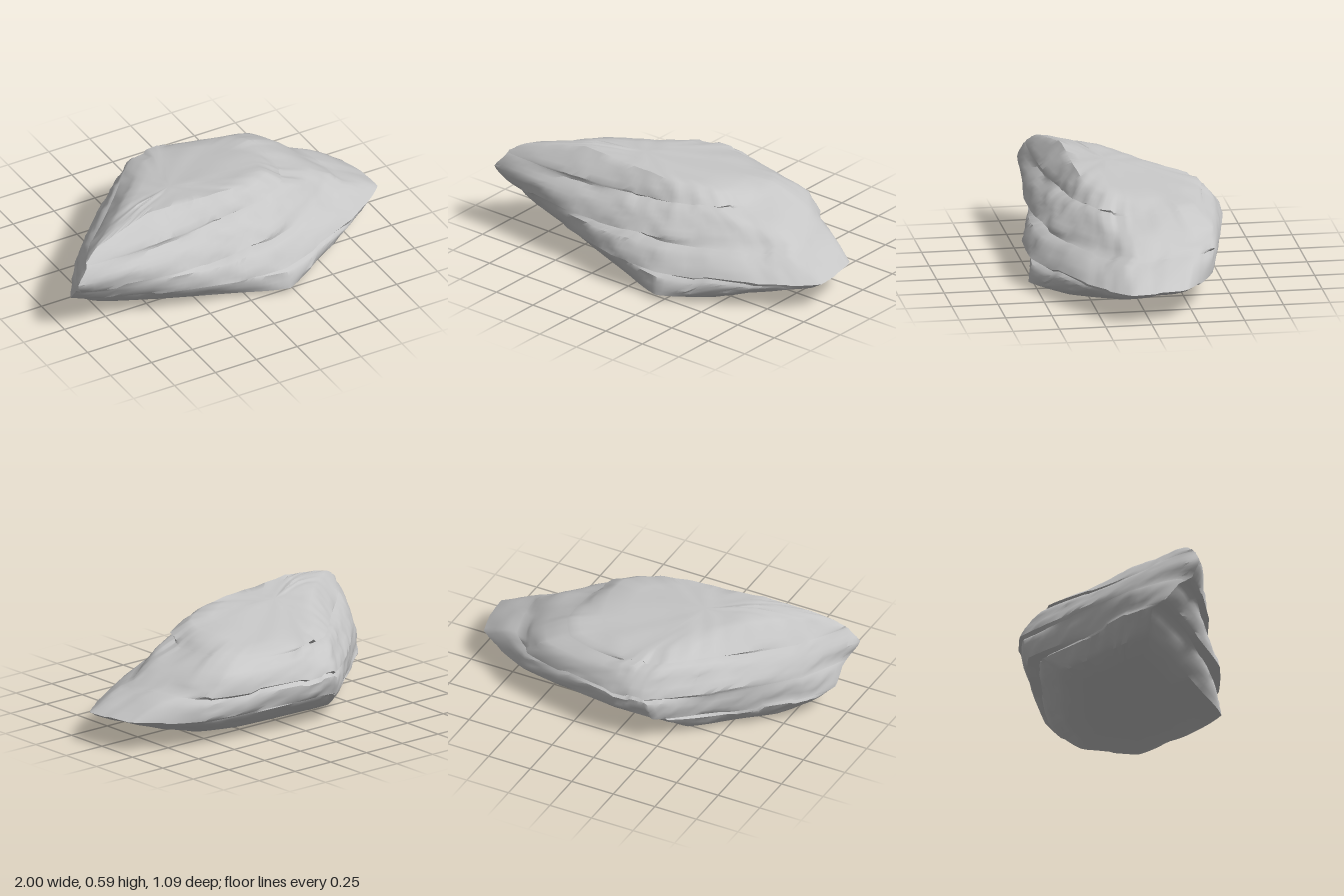
import * as THREE from 'three';
import { toCreasedNormals } from 'three/addons/utils/BufferGeometryUtils.js';

const N = 120; // points around each ring
const stone = new THREE.MeshStandardMaterial({ color: 0xc6c6c6 });
stone.name = 'grey stone';

// Cross-sections as x, z pairs: left tip, along the front, right end, back
const footEdge = [-0.75, 0.13, -0.45, 0.28, -0.1, 0.42, 0.22, 0.54, 0.48, 0.36, 0.61, 0.1,
  0.52, -0.2, 0.3, -0.28, -0.1, -0.3, -0.33, -0.3, -0.54, -0.11, -0.7, 0.03];
const footTop = [-0.9, 0.15, -0.5, 0.34, -0.1, 0.47, 0.21, 0.52, 0.69, 0.32, 0.95, 0.11,
  0.88, -0.2, 0.55, -0.37, 0, -0.43, -0.27, -0.42, -0.55, -0.19, -0.81, 0.02];
const lowerWide = [-0.945, 0.22, -0.5, 0.4, -0.1, 0.525, 0.2, 0.525, 0.73, 0.3, 1, 0.1,
  0.95, -0.2, 0.61, -0.39, 0, -0.5, -0.22, -0.49, -0.51, -0.23, -0.82, 0.05];
const lowerTop = [-0.95, 0.29, -0.47, 0.43, -0.1, 0.48, 0.18, 0.46, 0.6, 0.26, 0.8, 0.08,
  0.78, -0.25, 0.6, -0.39, 0, -0.53, -0.2, -0.52, -0.5, -0.25, -0.83, 0.06];
const middleBase = [-0.96, 0.36, -0.44, 0.46, -0.05, 0.45, 0.2, 0.41, 0.58, 0.2, 0.75, 0.03,
  0.65, -0.29, 0.58, -0.41, 0, -0.545, -0.18, -0.535, -0.5, -0.27, -0.82, 0.07];
const middleWide = [-1, 0.4, -0.45, 0.43, -0.05, 0.4, 0.18, 0.36, 0.5, 0.18, 0.62, 0.04,
  0.58, -0.28, 0.5, -0.41, 0, -0.51, -0.18, -0.495, -0.48, -0.22, -0.82, 0.11];
const middleTop = [-0.94, 0.38, -0.45, 0.36, -0.08, 0.34, 0.14, 0.3, 0.38, 0.18, 0.46, 0.03,
  0.46, -0.24, 0.38, -0.37, 0, -0.46, -0.2, -0.43, -0.47, -0.18, -0.81, 0.16];
const crownBase = [-0.93, 0.36, -0.45, 0.365, -0.1, 0.32, 0.15, 0.29, 0.37, 0.18, 0.41, 0.03,
  0.4, -0.23, 0.32, -0.35, -0.05, -0.435, -0.23, -0.39, -0.46, -0.16, -0.79, 0.18];
const crownRim = [-0.84, 0.32, -0.46, 0.25, -0.1, 0.24, 0.1, 0.22, 0.27, 0.13, 0.3, 0.02,
  0.25, -0.17, 0.17, -0.27, -0.08, -0.34, -0.2, -0.29, -0.4, -0.07, -0.65, 0.17];

const rough = (p) => Math.sin(p.x * 17 + p.y * 23) * Math.sin(p.z * 19 - p.y * 31 + 1)
  + 0.5 * Math.sin(p.x * 41 - p.z * 37 + p.y * 50);
const hash = (n) => { const s = Math.sin(n * 127.1) * 43758.5; return s - Math.floor(s); };

// Closed ring through a cross-section at height y, between straight and smooth
function ring(pairs, y) {
  const keys = [];
  for (let i = 0; i < pairs.length; i += 2) keys.push(new THREE.Vector3(pairs[i], y, pairs[i + 1]));
  const curve = new THREE.CatmullRomCurve3(keys, true, 'centripetal');
  return Array.from({ length: N }, (_, i) => {
    const u = i * keys.length / N, k = Math.floor(u);
    const straight = keys[k].clone().lerp(keys[(k + 1) % keys.length], u - k);
    return straight.lerp(curve.getPoint(i / N), 0.4);
  });
}

// Raise and lower the two lips of a ledge together in uneven steps
function jag(rings, seed) {
  for (let i = 0; i < N; i++) {
    const dy = (hash(Math.floor(i / 5) + seed) - 0.5) * 0.022 + 0.008 * Math.sin(i * 0.21 + seed);
    rings.forEach((r) => { r[i].y += dy; });
  }
}

// Recessed crack between two slabs, fading out twice around the rock
function crack(below, above, phase) {
  return below.map((p, i) => {
    const q = p.clone().lerp(above[i], 0.5);
    const open = Math.max(0, 0.3 + Math.sin(i * 4 * Math.PI / N + phase));
    const depth = 0.002 + open * (0.02 + 0.016 * hash(Math.floor(i / 4) + phase));
    const inward = new THREE.Vector3(-0.1 - q.x, 0, -q.z).normalize();
    return q.addScaledVector(inward, depth);
  });
}

// In-between rings that bulge slightly and carry the rough surface
function fill(a, b, steps, bulge) {
  return Array.from({ length: steps - 1 }, (_, k) => a.map((p, i) => {
    const t = (k + 1) / steps;
    const q = p.clone().lerp(b[i], t);
    const out = new THREE.Vector3(q.x + 0.1, 0, q.z).normalize();
    return q.addScaledVector(out, Math.sin(t * Math.PI) * (bulge + 0.008 * rough(q)));
  }));
}

// Skin stacked rings, with optional centre points closing either end
function slab(name, rings, bottom, top) {
  const pos = [], idx = [];
  rings.forEach((r) => r.forEach((p) => pos.push(p.x, p.y, p.z)));
  const last = (rings.length - 1) * N;
  for (let i = 0; i < N; i++) {
    const j = (i + 1) % N;
    for (let k = 0; k < last; k += N) idx.push(k + i, k + j, k + N + j, k + i, k + N + j, k + N + i);
    if (bottom) idx.push(j, i, rings.length * N);
    if (top) idx.push(last + i, last + j, rings.length * N);
  }
  const cap = bottom || top;
  if (cap) pos.push(cap.x, cap.y, cap.z);
  const geo = new THREE.BufferGeometry();
  geo.setAttribute('position', new THREE.Float32BufferAttribute(pos, 3));
  geo.setIndex(idx);
  const mesh = new THREE.Mesh(toCreasedNormals(geo, 0.8), stone);
  mesh.name = name;
  return mesh;
}

export function createModel() {
  const rock = new THREE.Group();
  rock.name = 'layeredRock';

  const a0 = ring(footEdge, 0.03), a1 = ring(footTop, 0.13);
  const b0 = ring(lowerWide, 0.16), b1 = ring(lowerTop, 0.26);
  const c0 = ring(middleBase, 0.295), c1 = ring(middleWide, 0.37), c2 = ring(middleTop, 0.43);
  const d0 = ring(crownBase, 0.455), d1 = ring(crownRim, 0);
  jag([a1, b0], 3);
  jag([b1, c0], 40);
  jag([c2, d0], 77);
  // The crown slopes down to the back, the right and the left tip
  const crownY = (p) => 0.58 - 0.055 * (p.x + 0.46) + 0.13 * (p.z - 0.25)
    - 0.25 * Math.max(0, -0.5 - p.x) + 0.003 * rough(p);
  d1.forEach((p) => { p.y = crownY(p); });
  const ab = crack(a1, b0, -1.05), bc = crack(b1, c0, -0.5), cd = crack(c2, d0, -1.8);

  // Gently domed underside
  const foot = new THREE.Vector3(-0.02, 0, 0.05);
  const under = [0.35, 0.7].map((t) => a0.map((p) => {
    const q = foot.clone().lerp(p, t);
    q.y = 0.03 * t * t;
    return q;
  }));
  // Crown surface rings shrinking to the middle
  const peak = new THREE.Vector3(-0.25, 0, 0.05);
  peak.y = crownY(peak) + 0.008;
  const dome = [0.25, 0.5, 0.75].map((t) => d1.map((p) => {
    const q = p.clone().lerp(peak, t);
    q.y = crownY(q) + 0.008 * t;
    return q;
  }));

  rock.add(
    slab('bottomSlab', [...under, a0, ...fill(a0, a1, 4, 0.008), a1, ab], foot, null),
    slab('lowerSlab', [ab, b0, ...fill(b0, b1, 4, 0.008), b1, bc]),
    slab('middleSlab', [bc, c0, ...fill(c0, c1, 3, 0.004), c1, ...fill(c1, c2, 3, 0.006), c2, cd]),
    slab('crownSlab', [cd, d0, ...fill(d0, d1, 4, 0.008), d1, ...dome], null, peak),
  );
  return rock;
}
